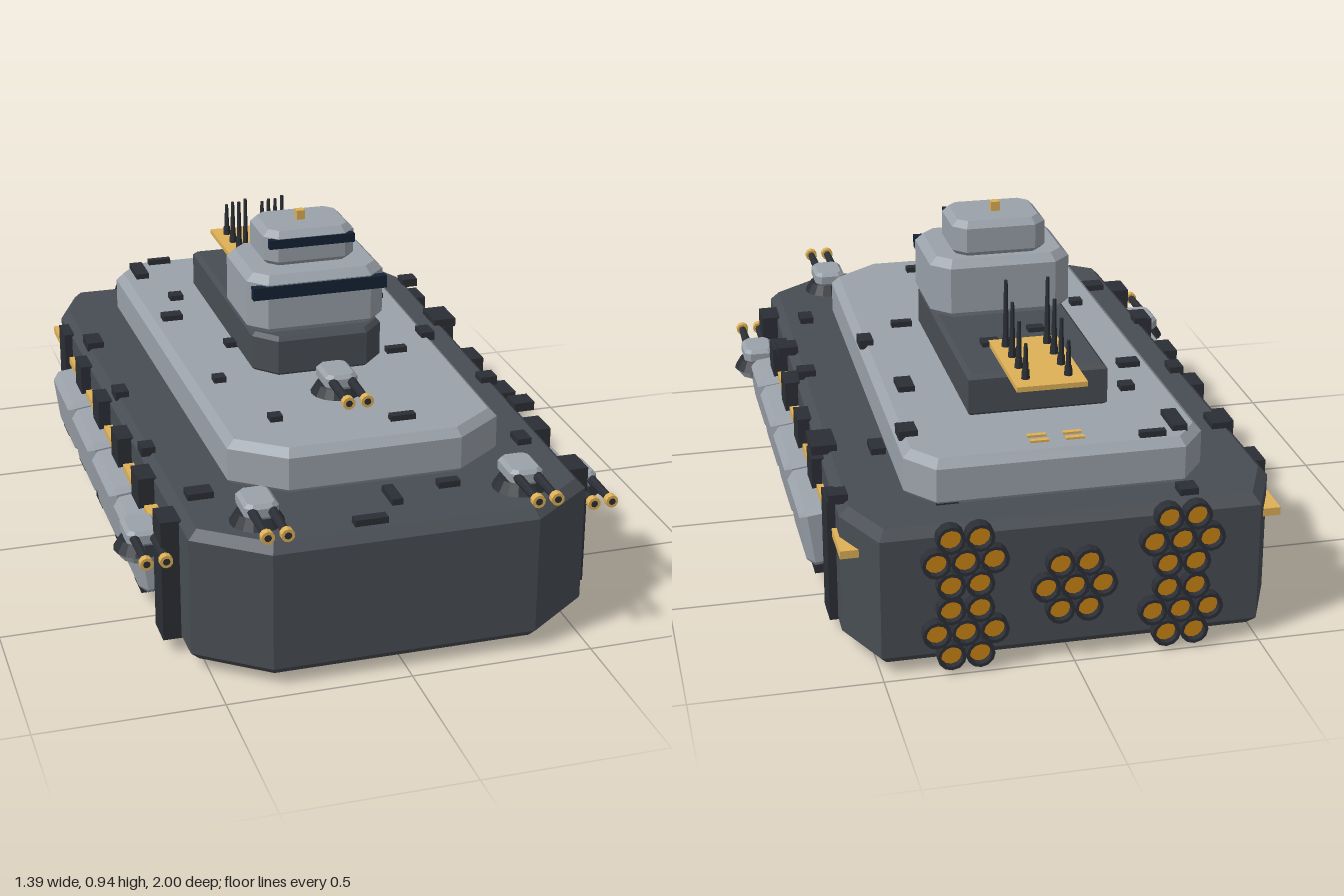
import * as THREE from 'three';

const mat = (color) => new THREE.MeshStandardMaterial({ color, flatShading: true });
const LIGHT = mat(0x9aa1a9), HULL = mat(0x484d53), DARK = mat(0x2b2f35), BASE = mat(0x5a5e62);
const GOLD = mat(0xdeb056), GLASS = mat(0x142234), GLOW = mat(0xc88414);

function add(parent, name, geometry, material, x = 0, y = 0, z = 0) {
  const mesh = new THREE.Mesh(geometry, material);
  mesh.name = name;
  mesh.position.set(x, y, z);
  parent.add(mesh);
  return mesh;
}

const box = (parent, name, material, w, h, d, x, y, z) =>
  add(parent, name, new THREE.BoxGeometry(w, h, d), material, x, y, z);

// Bevelled extrusion that stays inside its outline and its height
function bevelled(shape, height, bevel) {
  const g = new THREE.ExtrudeGeometry(shape, {
    depth: height - 2 * bevel, bevelEnabled: true, bevelSegments: 1,
    bevelSize: bevel, bevelThickness: bevel, bevelOffset: -bevel,
  });
  return g.translate(0, 0, bevel);
}

// Mirrored plan from right-hand points [x, z], listed from rear to front, standing on y
function slab(parent, name, material, half, y0, y1, bevel) {
  const pts = half.map(([x, z]) => new THREE.Vector2(x, -z));
  const mirrored = half.map(([x, z]) => new THREE.Vector2(-x, -z)).reverse();
  const g = bevelled(new THREE.Shape([...pts, ...mirrored]), y1 - y0, bevel);
  return add(parent, name, g.rotateX(-Math.PI / 2), material, 0, y0, 0);
}

// Plan of a block with cut corners
const block = (w, z0, z1, c) => [[w - c, z0], [w, z0 + c], [w, z1 - c], [w - c, z1]];

// Twin gun turret: conical base, gun house, two barrels with gold muzzles
function turret(parent, name, x, y, z) {
  const t = new THREE.Group();
  t.name = name;
  t.position.set(x, y, z);
  parent.add(t);
  add(t, 'turretBase', new THREE.CylinderGeometry(0.055, 0.073, 0.03, 16), DARK, 0, 0.015, 0);
  slab(t, 'gunHouse', LIGHT, block(0.046, -0.06, 0.065, 0.018), 0.028, 0.072, 0.01);
  for (const s of [-1, 1]) {
    const barrel = new THREE.CylinderGeometry(0.011, 0.014, 0.15, 8).rotateX(Math.PI / 2);
    add(t, 'barrel', barrel, DARK, s * 0.026, 0.052, 0.115);
    const muzzle = new THREE.CylinderGeometry(0.018, 0.018, 0.02, 10).rotateX(Math.PI / 2);
    add(t, 'muzzle', muzzle, GOLD, s * 0.026, 0.052, 0.194);
    const bore = new THREE.CircleGeometry(0.01, 8);
    add(t, 'bore', bore, DARK, s * 0.026, 0.052, 0.2045);
  }
}

// Seven round nozzles in a hexagonal cluster, open to the rear
function engineCluster(parent, x, y) {
  const cluster = new THREE.Group();
  cluster.name = 'engineCluster';
  cluster.position.set(x, y, -0.965);
  parent.add(cluster);
  const profile = [[0.03, 0], [0.038, 0], [0.038, 0.035], [0.029, 0.035], [0.027, 0.008]]
    .map(([r, h]) => new THREE.Vector2(r, h));
  for (let k = 0; k < 7; k++) {
    const a = k * Math.PI / 3, r = k < 6 ? 0.075 : 0;
    const px = r * Math.cos(a), py = r * Math.sin(a);
    const ring = add(cluster, 'nozzle', new THREE.LatheGeometry(profile, 12), DARK, px, py, 0);
    ring.rotation.x = -Math.PI / 2;
    ring.material = NOZZLE;
    const disc = add(cluster, 'exhaustGlow', new THREE.CircleGeometry(0.029, 12), GLOW, px, py, -0.018);
    disc.rotation.y = Math.PI;
  }
}
const NOZZLE = DARK.clone();
NOZZLE.side = THREE.DoubleSide;

export function createModel() {
  const model = new THREE.Group();
  model.name = 'landCruiser';

  // Hull, belly plate and upper deck
  slab(model, 'hull', HULL,
    [[0.5, -0.97], [0.575, -0.8], [0.545, 0.81], [0.36, 0.95]], 0.025, 0.405, 0.025);
  const belly = slab(model, 'bellyPlate', BASE, block(0.42, -0.44, 0.23, 0.07), 0, 0.04, 0.018);
  belly.name = 'bellyPlate';
  slab(model, 'upperDeck', LIGHT,
    [[0.33, -0.85], [0.4, -0.76], [0.38, 0.57], [0.24, 0.675]], 0.395, 0.53, 0.022);

  // Citadel and command tower
  slab(model, 'citadel', HULL,
    [[0.19, -0.585], [0.19, 0.12], [0.13, 0.185]], 0.525, 0.645, 0.012);
  slab(model, 'towerLower', LIGHT, block(0.2, -0.168, 0.155, 0.05), 0.64, 0.815, 0.022);
  slab(model, 'towerUpper', LIGHT, block(0.133, -0.138, 0.075, 0.035), 0.81, 0.915, 0.018);
  box(model, 'lowerVisor', GLASS, 0.39, 0.036, 0.025, 0, 0.772, 0.15);
  box(model, 'upperVisor', GLASS, 0.25, 0.026, 0.02, 0, 0.883, 0.07);
  box(model, 'beacon', GOLD, 0.025, 0.03, 0.025, -0.004, 0.927, -0.035);

  // Antenna array on its gold plate
  box(model, 'antennaPlate', GOLD, 0.19, 0.014, 0.34, -0.004, 0.653, -0.552);
  [0.85, 0.815, 0.79, 0.757].forEach((top, i) => {
    for (const x of [-0.06, 0.055]) {
      const z = -0.435 - i * 0.077, h = top - 0.655;
      add(model, 'antenna', new THREE.CylinderGeometry(0.005, 0.009, h, 8), DARK, x, 0.655 + h / 2, z);
      add(model, 'antennaFoot', new THREE.CylinderGeometry(0.01, 0.012, 0.03, 8), DARK, x, 0.67, z);
    }
  });
  for (const x of [-0.05, 0.045])
    for (const z of [-0.782, -0.748]) box(model, 'deckMarking', GOLD, 0.05, 0.008, 0.014, x, 0.532, z);

  // Both flanks: ribs, gold stripes, armour pods and sponson guns
  const podShape = new THREE.Shape(
    [[-0.14, -0.07], [-0.125, -0.085], [0.125, -0.085], [0.14, -0.07],
      [0.14, 0.07], [0.125, 0.085], [-0.125, 0.085], [-0.14, 0.07]].map(([a, b]) => new THREE.Vector2(a, b)));
  for (const s of [-1, 1]) {
    for (let i = 0; i < 6; i++) {
      box(model, 'rib', DARK, 0.06, 0.345, 0.092, s * 0.566, 0.215, 0.665 - i * 0.269);
      box(model, 'sideStripe', GOLD, 0.05, 0.022, 0.135, s * 0.562, 0.311, 0.535 - i * 0.27);
    }
    for (let i = 0; i < 4; i++) {
      const g = bevelled(podShape, 0.1, 0.02).translate(0, 0, -0.05).rotateY(Math.PI / 2);
      const pod = add(model, 'armourPod', g, LIGHT, s * 0.59, 0.215, 0.47 - i * 0.305);
      pod.rotation.z = -0.13 * s;
    }
    add(model, 'sponson', new THREE.CylinderGeometry(0.068, 0.055, 0.025, 12), LIGHT, s * 0.62, 0.242, 0.565);
    turret(model, 'sideTurret', s * 0.62, 0.253, 0.565);
    turret(model, 'bowTurret', s * 0.36, 0.405, 0.795);
    for (const y of [0.315, 0.115]) engineCluster(model, s * 0.285, y);
  }
  turret(model, 'deckTurret', -0.005, 0.528, 0.33);
  engineCluster(model, 0, 0.215);

  // Small deck fittings: [x, z, width, depth] for each deck height
  const fittings = [
    [0.41, [[-0.32, -0.9, 0.05, 0.05], [0.3, -0.83, 0.06, 0.025], [0.42, -0.47, 0.04, 0.07],
      [-0.47, 0.615, 0.07, 0.05], [0.47, 0.53, 0.04, 0.06], [0.015, 0.77, 0.03, 0.09],
      [-0.085, 0.89, 0.09, 0.03], [0.18, 0.74, 0.06, 0.03], [0.57, -0.74, 0.05, 0.05],
      [0.56, -0.4, 0.07, 0.11], [-0.53, -0.5, 0.05, 0.08], [-0.53, -0.1, 0.04, 0.06],
      [0.53, 0.1, 0.05, 0.05], [0.56, 0.3, 0.06, 0.06], [-0.54, 0.3, 0.04, 0.05]]],
    [0.533, [[-0.33, -0.74, 0.04, 0.11], [-0.25, -0.81, 0.07, 0.02], [-0.27, -0.49, 0.04, 0.04],
      [0.32, -0.35, 0.045, 0.075], [-0.32, -0.33, 0.06, 0.04], [-0.2, -0.075, 0.04, 0.04],
      [0.245, 0.105, 0.06, 0.025], [-0.3, 0.17, 0.035, 0.035], [-0.22, 0.47, 0.035, 0.035],
      [0.11, 0.56, 0.07, 0.025], [0.37, -0.65, 0.05, 0.06], [0.37, 0.0, 0.04, 0.06]]],
    [0.645, [[0.085, -0.375, 0.05, 0.04], [-0.06, -0.3, 0.045, 0.03]]],
  ];
  for (const [y, list] of fittings)
    for (const [x, z, w, d] of list) box(model, 'deckFitting', DARK, w, 0.026, d, x, y, z);

  return model;
}
